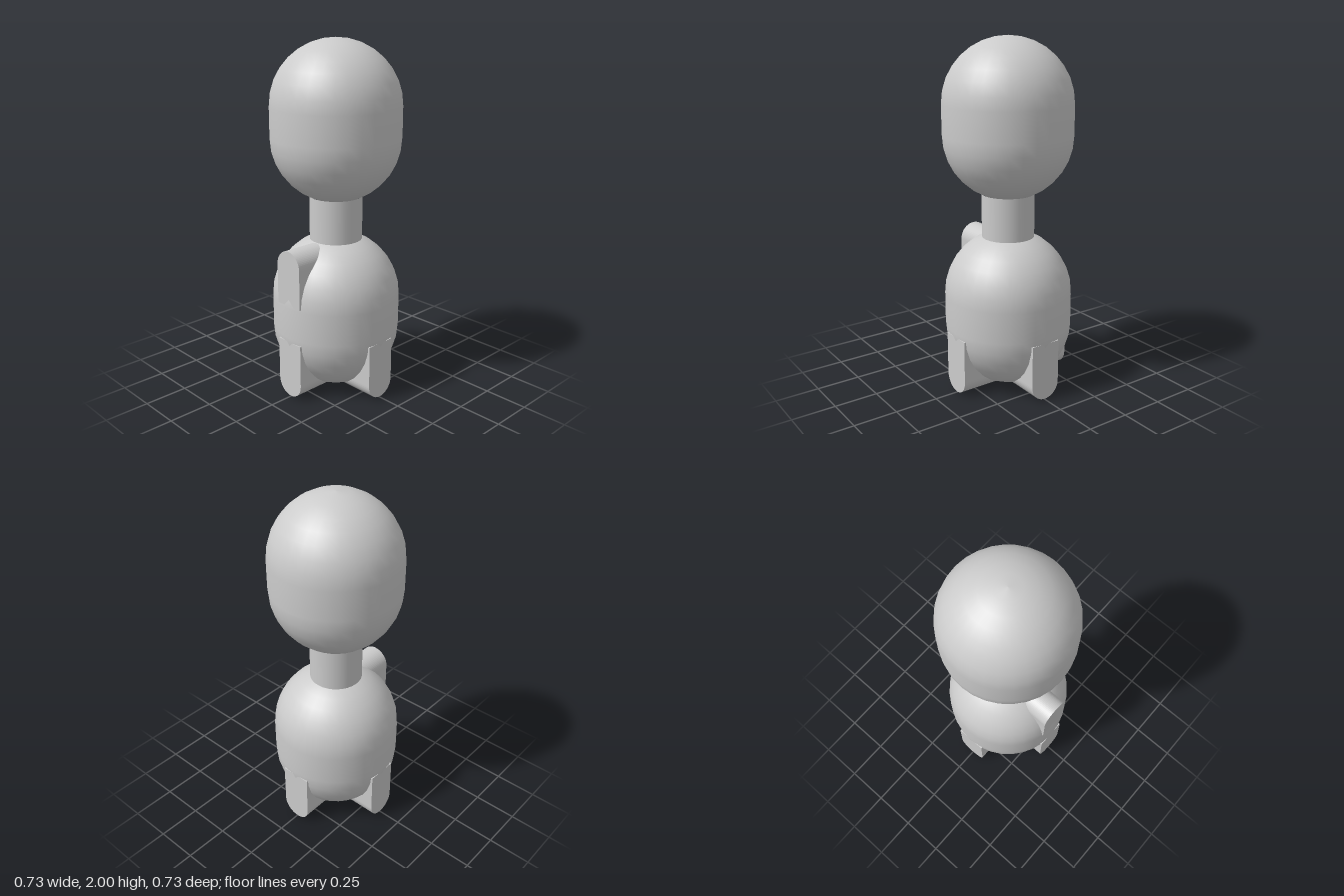
import * as THREE from 'three';

const R = 0.367; // bulb radius
const material = new THREE.MeshStandardMaterial({ color: 0xcccccc });

function add(parent, name, geometry) {
  const mesh = new THREE.Mesh(geometry, material);
  mesh.name = name;
  parent.add(mesh);
  return mesh;
}

// Upright capsule between two heights
function bulb(bottom, top) {
  const points = [];
  for (let i = 0; i <= 8; i++) {
    const a = (i / 8) * Math.PI / 2;
    points.push(new THREE.Vector2(R * Math.sin(a), bottom + R - R * Math.cos(a)));
  }
  for (let i = 8; i >= 0; i--) {
    const a = (i / 8) * Math.PI / 2;
    points.push(new THREE.Vector2(R * Math.sin(a), top - R + R * Math.cos(a)));
  }
  return new THREE.LatheGeometry(points, 32);
}

// Fin running outward along +z: rounded lower edge at y = 0, flat upper edge
function fin(height) {
  const r = 0.09;
  const shape = new THREE.Shape();
  shape.moveTo(r, height);
  shape.lineTo(-r, height);
  shape.lineTo(-r, r);
  shape.absarc(0, r, r, Math.PI, Math.PI * 2, false);
  shape.lineTo(r, height);
  return new THREE.ExtrudeGeometry(shape, { depth: 0.362, bevelEnabled: false, curveSegments: 16 });
}

export function createModel() {
  const group = new THREE.Group();
  group.name = 'figure';

  add(group, 'body', bulb(0, 0.912));
  add(group, 'head', bulb(1.098, 2));

  const neck = add(group, 'neck', new THREE.CylinderGeometry(0.15, 0.15, 0.25, 32, 1, true));
  neck.position.y = 1.005;

  // Four feet in a cross
  for (let i = 0; i < 4; i++) {
    const foot = add(group, 'foot', fin(0.335));
    foot.position.y = 0.005;
    foot.rotation.y = (i * Math.PI) / 2;
  }

  // Single upper fin on the -x side, rounded edge upward
  const tail = add(group, 'upperFin', fin(0.32));
  tail.rotation.set(0, -Math.PI / 2, Math.PI, 'YXZ');
  tail.position.y = 0.878;

  return group;
}
